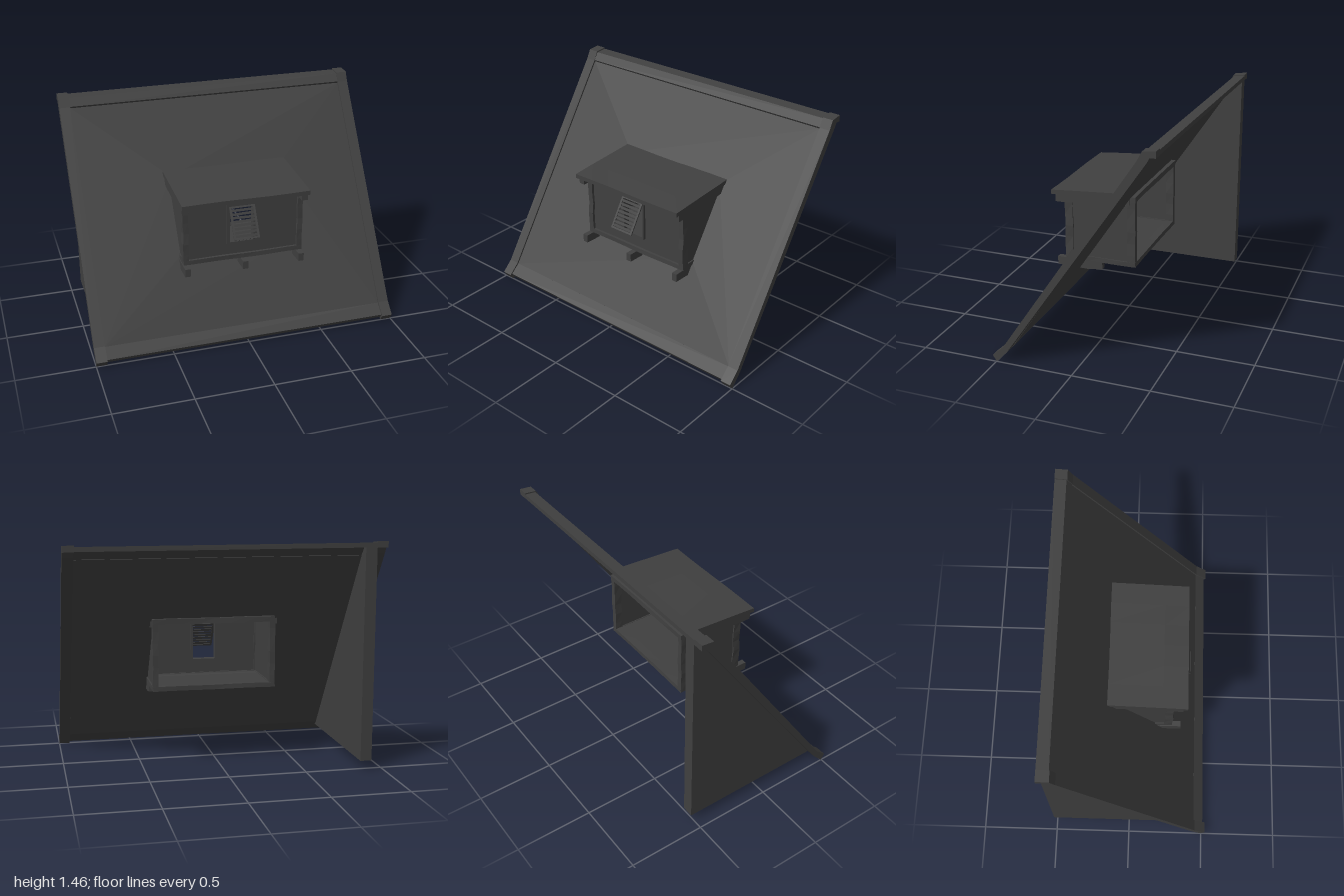
import * as THREE from 'three';

const mat = new THREE.MeshStandardMaterial({ color: 0x404040, flatShading: true });

function add(parent, name, geometry) {
  const mesh = new THREE.Mesh(geometry, mat);
  mesh.name = name;
  parent.add(mesh);
  return mesh;
}

// Solid with a [z, y] profile, running from x0 to x1
function prism(profile, x0, x1) {
  const shape = new THREE.Shape(profile.map(([z, y]) => new THREE.Vector2(-z, y)));
  const g = new THREE.ExtrudeGeometry(shape, { depth: x1 - x0, bevelEnabled: false });
  return g.rotateY(Math.PI / 2).translate(x0, 0, 0);
}

// Box from its limits
function box(x0, x1, y0, y1, z0, z1, seg = [1, 1, 1]) {
  return new THREE.BoxGeometry(x1 - x0, y1 - y0, z1 - z0, ...seg)
    .translate((x0 + x1) / 2, (y0 + y1) / 2, (z0 + z1) / 2);
}

// Upright slab in x and y with a rectangular opening
function holedSlab([x0, x1, y0, y1], [a0, a1, b0, b1], depth) {
  const rect = (P, l, r, b, t) => new P([[l, b], [r, b], [r, t], [l, t]].map(p => new THREE.Vector2(...p)));
  const shape = rect(THREE.Shape, x0, x1, y0, y1);
  shape.holes.push(rect(THREE.Path, a0, a1, b0, b1));
  return new THREE.ExtrudeGeometry(shape, { depth, bevelEnabled: false });
}

// Hand-hewn unevenness
function hew(g, amount = 0.003) {
  const p = g.attributes.position;
  for (let i = 0; i < p.count; i++) {
    const x = p.getX(i), y = p.getY(i), z = p.getZ(i);
    p.setXYZ(i,
      x + amount * Math.sin(y * 31 + z * 17),
      y + amount * Math.sin(x * 13 + z * 11) * 0.6,
      z + amount * Math.sin(y * 27 + x * 9));
  }
  g.computeVertexNormals();
  return g;
}

function mainRoof() {
  const roof = new THREE.Group();
  roof.name = 'mainRoof';

  // Rake boards with a kicked eave and a flat top
  const rake = [[-0.52, 1.46], [-0.44, 1.452], [-0.41, 1.394], [0.45, 0.11], [0.523, 0.042],
    [0.496, 0.003], [0.425, 0.08], [-0.465, 1.385], [-0.485, 1.42], [-0.52, 1.42]];
  add(roof, 'rakeBoardRight', prism(rake, -1, -0.93));
  add(roof, 'rakeBoardLeft', prism(rake, 0.93, 1));

  // Ridge and eave between the rake boards
  add(roof, 'ridgeCap', prism([[-0.52, 1.452], [-0.445, 1.445], [-0.412, 1.396], [-0.432, 1.364],
    [-0.472, 1.405], [-0.485, 1.422], [-0.52, 1.422]], -0.93, 0.93));
  add(roof, 'eaveBoard', prism([[0.443, 0.102], [0.508, 0.045], [0.49, 0.018], [0.418, 0.085]], -0.93, 0.93));

  // Sloping panel, slightly sunk and open where the dormer passes through
  const tilt = Math.atan2(0.86, 1.284), c = Math.cos(tilt);
  const panel = add(roof, 'roofPanel', holedSlab([-0.93, 0.93, 0, 1.545],
    [-0.345, 0.405, 0.43 / c, 0.85 / c], 0.03));
  panel.rotation.x = -tilt;
  panel.position.set(0, 0.085, 0.418);

  // Gable wall on one end only
  add(roof, 'gableWall', prism([[0.442, 0.06], [-0.52, 0.06], [-0.52, 1.43], [-0.472, 1.43]], -0.929, -0.855));
  return roof;
}

function dormer() {
  const d = new THREE.Group();
  d.name = 'dormer';
  const XL = -0.37, XR = 0.43;

  // Floor, walls and frame
  add(d, 'floor', box(XL + 0.01, XR - 0.01, 0.507, 0.527, -0.19, 0.25));
  const wall = add(d, 'frontWall', holedSlab([XL + 0.01, XR - 0.01, 0.51, 0.945], [-0.06, 0.095, 0.62, 0.875], 0.025));
  wall.position.z = 0.23;
  for (const [name, x] of [['Right', XL], ['Left', XR - 0.035]]) {
    add(d, 'sideWall' + name, prism([[0.25, 0.51], [-0.19, 0.51], [-0.19, 0.96], [-0.14, 0.96], [0.25, 0.94]],
      x + 0.008, x + 0.027));
    add(d, 'frontPost' + name, hew(box(x, x + 0.035, 0.5, 0.945, 0.22, 0.272, [1, 6, 1])));
    add(d, 'backPost' + name, hew(box(x, x + 0.035, 0.5, 0.965, -0.197, -0.145, [1, 6, 1]), 0.002));
    add(d, 'sill' + name, hew(box(x, x + 0.035, 0.5, 0.53, -0.197, 0.272, [1, 1, 6]), 0.0015));
  }
  for (const [name, z0, y0, y1] of [['Front', 0.22, 0.905, 0.94], ['Back', -0.197, 0.93, 0.965]]) {
    add(d, 'bottomBeam' + name, hew(box(XL, XR, 0.5, 0.53, z0, z0 + 0.052, [8, 1, 1]), 0.002));
    add(d, 'topBeam' + name, hew(box(XL, XR, y0, y1, z0, z0 + 0.052, [8, 1, 1]), 0.002));
  }

  // Eave beams carrying the roof
  for (const [name, x] of [['Right', -0.39], ['Left', 0.4]]) {
    add(d, 'eaveBeam' + name, prism([[0.33, 0.88], [0.27, 0.88], [-0.16, 0.91], [-0.16, 0.966], [0.2, 0.947], [0.33, 0.925]],
      x, x + 0.04));
  }

  // Bent roof with a slightly uneven edge
  const top = [[0.357, 0.954], [0.2, 0.967], [-0.155, 0.987]];
  const rows = top.length, cols = 6, verts = [], index = [];
  for (let i = 0; i <= cols; i++) {
    const x = -0.395 + 0.84 * i / cols;
    const ring = [...top, ...top.map(([z, y]) => [z, y - 0.028]).reverse()];
    for (const [z, y] of ring) verts.push(x, y + 0.002 * Math.sin(x * 9 + z * 8), z);
  }
  const n = rows * 2;
  for (let i = 0; i < cols; i++) for (let j = 0; j < n; j++) {
    const a = i * n + j, b = i * n + (j + 1) % n;
    index.push(a, a + n, b, b, a + n, b + n);
  }
  for (const [s, flip] of [[0, false], [cols * n, true]]) {
    for (let j = 0; j < rows - 1; j++) {
      const q = [s + j, s + j + 1, s + n - 2 - j, s + n - 1 - j];
      if (flip) q.reverse();
      index.push(q[0], q[1], q[2], q[0], q[2], q[3]);
    }
  }
  const rg = new THREE.BufferGeometry();
  rg.setAttribute('position', new THREE.Float32BufferAttribute(verts, 3));
  rg.setIndex(index);
  const flat = rg.toNonIndexed();
  flat.computeVertexNormals();
  add(d, 'dormerRoof', flat);

  // Brackets below
  for (const x of [-0.375, 0.01, 0.39]) {
    add(d, 'bracket', prism([[0.33, 0.5], [0.33, 0.447], [0.12, 0.44], [0.025, 0.452], [0.025, 0.5]], x, x + 0.036));
  }

  // Window frame
  const frame = add(d, 'windowFrame', holedSlab([-0.08, 0.108, 0.607, 0.888], [-0.06, 0.095, 0.622, 0.872], 0.05));
  frame.position.z = 0.222;

  // Louvred shutter propped open from its top edge
  const shutter = new THREE.Group();
  shutter.name = 'shutter';
  shutter.position.set(0.0175, 0.868, 0.266);
  shutter.rotation.x = -0.56;
  const H = 0.216, W = 0.085;
  add(shutter, 'shutterFrame', holedSlab([-W, W, -H, 0], [-W + 0.014, W - 0.014, -H + 0.012, -0.012], 0.008));
  for (let i = 0; i < 8; i++) {
    const slat = add(shutter, 'slat', new THREE.BoxGeometry(2 * W - 0.02, 0.016, 0.004));
    slat.position.set(0, -0.027 - i * (H - 0.05) / 7, 0.004);
    slat.rotation.set(0.1, 0, 0.02 * Math.sin(i * 2.3));
  }
  d.add(shutter);
  return d;
}

export function createModel() {
  const model = new THREE.Group();
  model.name = 'roofWithDormer';
  model.add(mainRoof(), dormer());
  return model;
}
